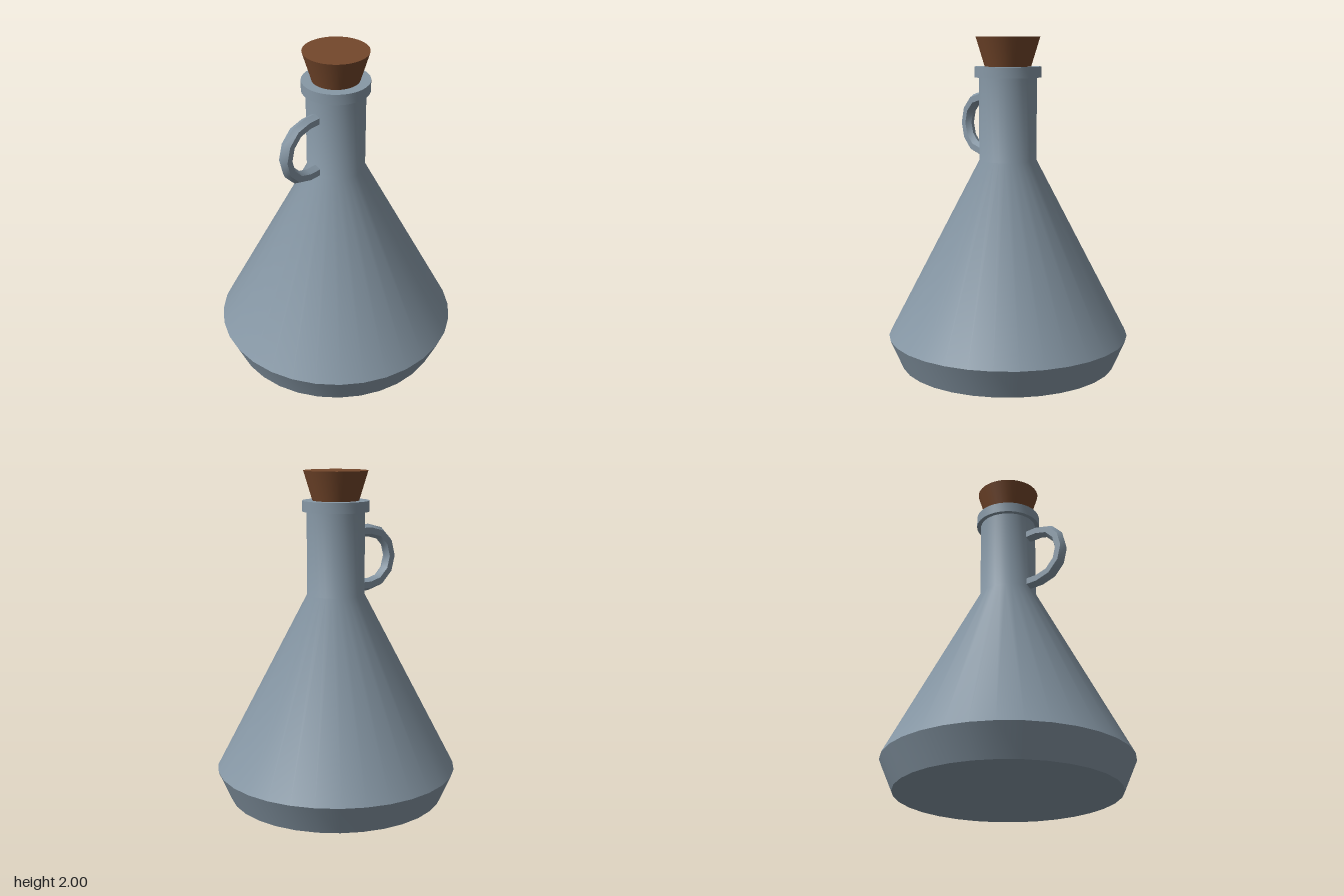
import * as THREE from 'three';
import { toCreasedNormals } from 'three/addons/utils/BufferGeometryUtils.js';

const SIDES = 32;

// Turned part from [radius, height] pairs, bottom to top, with sharp edges kept
function turned(name, profile, material) {
  const points = profile.map(([r, y]) => new THREE.Vector2(r, y));
  const mesh = new THREE.Mesh(toCreasedNormals(new THREE.LatheGeometry(points, SIDES), 0.6), material);
  mesh.name = name;
  return mesh;
}

// Hexagonal bar swept along a U-shaped path in the yz plane, ridge facing outwards
function handleGeometry() {
  const path = [[0.13, 1.632, 0, 1]];
  for (let i = 0; i <= 6; i++) {
    const a = Math.PI / 2 - (i * Math.PI) / 6;
    path.push([0.245 + 0.165 * Math.cos(a), 1.465 + 0.167 * Math.sin(a), Math.cos(a), Math.sin(a)]);
  }
  path.push([0.13, 1.298, 0, -1]);

  const positions = [];
  const index = [];
  for (const [z, y, nz, ny] of path) {
    for (let j = 0; j < 6; j++) {
      const a = (j * Math.PI) / 3;
      const out = 0.039 * Math.cos(a);
      positions.push(0.039 * Math.sin(a), y + ny * out, z + nz * out);
    }
  }
  for (let i = 0; i < path.length - 1; i++) {
    for (let j = 0; j < 6; j++) {
      const a = i * 6 + j;
      const b = i * 6 + ((j + 1) % 6);
      index.push(a, a + 6, b, b, a + 6, b + 6);
    }
  }
  const geometry = new THREE.BufferGeometry();
  geometry.setAttribute('position', new THREE.Float32BufferAttribute(positions, 3));
  geometry.setIndex(index);
  return toCreasedNormals(geometry, 0.6);
}

export function createModel() {
  const glass = new THREE.MeshStandardMaterial({ color: 0x8798a6 });
  const corkMaterial = new THREE.MeshStandardMaterial({ color: 0x74472b });
  const group = new THREE.Group();
  group.name = 'flask';

  // Conical body with tapered foot and straight neck
  group.add(turned('body', [[0, 0], [0.66, 0], [0.738, 0.18], [0.174, 1.262], [0.174, 1.77]], glass));

  // Collar around the mouth
  group.add(turned('lip', [[0.16, 1.76], [0.2, 1.76], [0.2, 1.824], [0, 1.824]], glass));

  // Tapered stopper
  group.add(turned('cork', [[0, 1.8], [0.132, 1.8], [0.193, 2], [0, 2]], corkMaterial));

  // Ring handle on the front of the neck
  const handle = new THREE.Mesh(handleGeometry(), glass);
  handle.name = 'handle';
  group.add(handle);

  return group;
}
